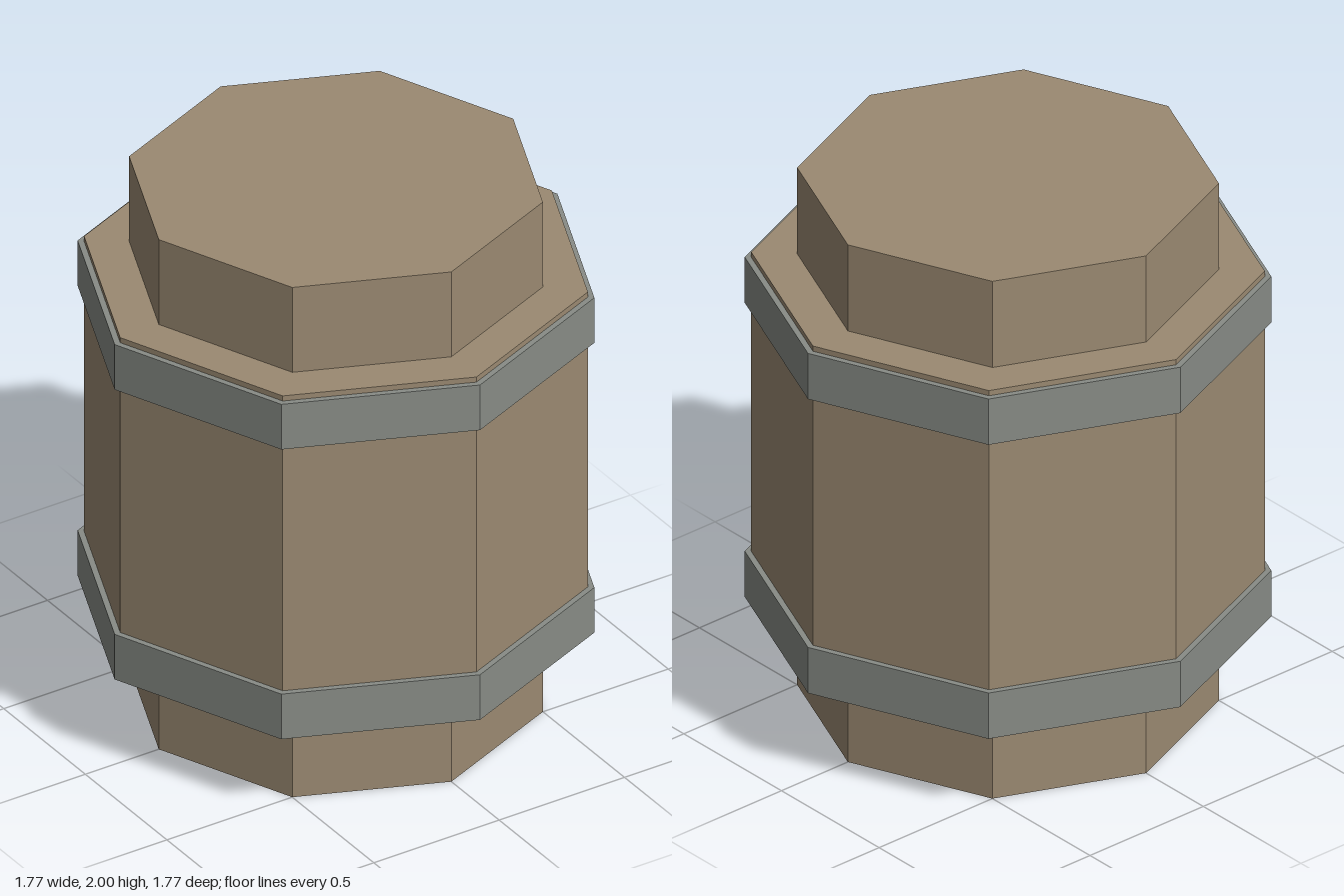
import * as THREE from 'three';

const wood = new THREE.MeshStandardMaterial({ color: 0x9b8a72, flatShading: true });
const metal = new THREE.MeshStandardMaterial({ color: 0x888c86, flatShading: true });

// Solid octagonal prism spanning two heights, with a corner facing +z
function prism(name, radius, bottom, top, material) {
  const mesh = new THREE.Mesh(new THREE.CylinderGeometry(radius, radius, top - bottom, 8), material);
  mesh.name = name;
  mesh.position.y = (bottom + top) / 2;
  return mesh;
}

export function createModel() {
  const group = new THREE.Group();
  group.name = 'barrel';

  // Narrow core that shows as the top and bottom ends
  group.add(prism('core', 0.707, 0, 2, wood));

  // Wide wooden body
  group.add(prism('body', 0.861, 0.34, 1.667, wood));

  // Metal bands; the lower one closes the underside of the body
  group.add(prism('lowerBand', 0.883, 0.333, 0.51, metal));
  group.add(prism('upperBand', 0.883, 1.47, 1.647, metal));

  return group;
}
